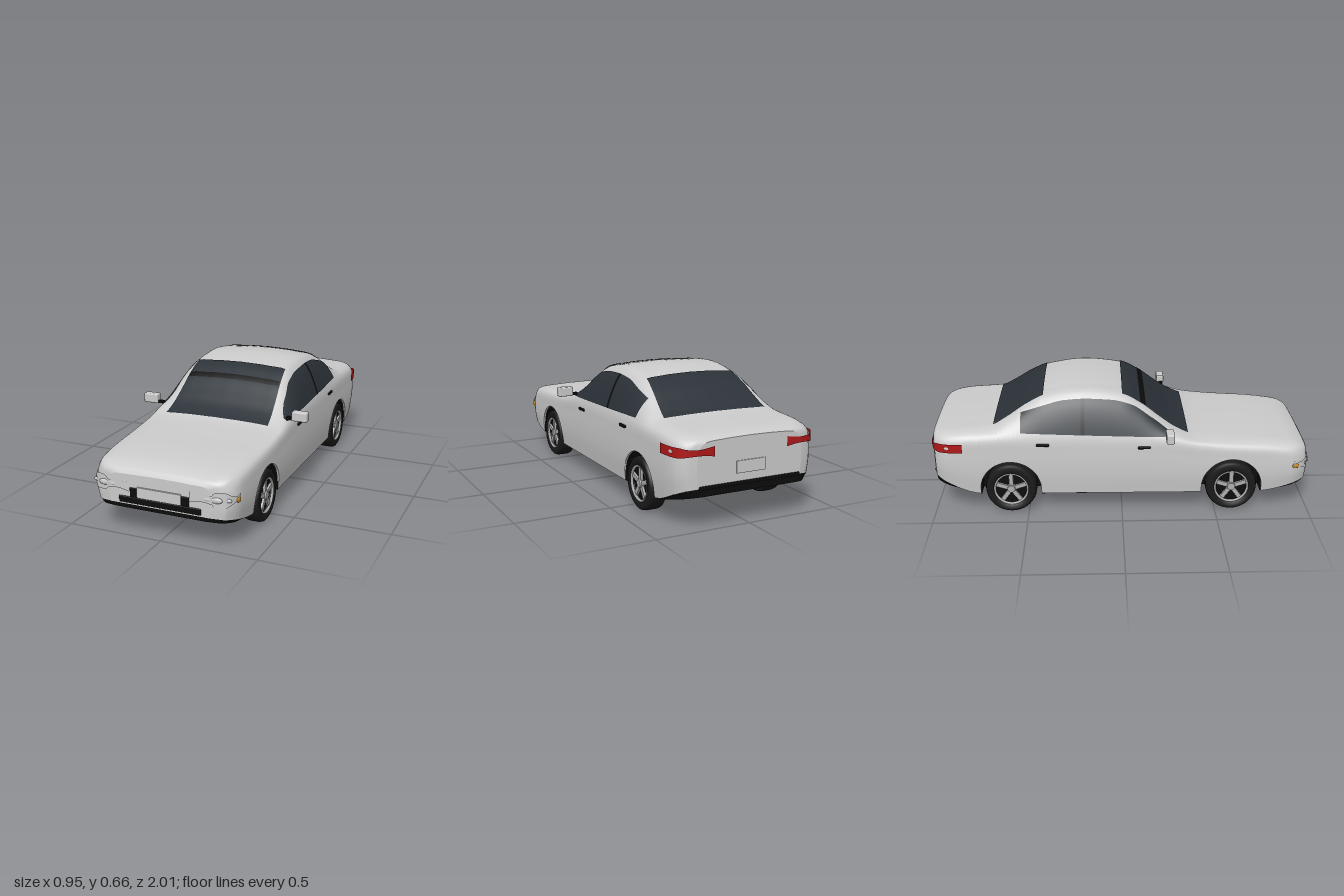
import * as THREE from 'three';
import { RoundedBoxGeometry } from 'three/addons/geometries/RoundedBoxGeometry.js';

const mat = (color, side = THREE.FrontSide) => new THREE.MeshStandardMaterial({ color, side });
const paint = mat(0xcccccc, THREE.DoubleSide), black = mat(0x0c0c0c, THREE.DoubleSide);
const glass = mat(0x2b3238, THREE.DoubleSide), rubber = mat(0x1a1a1a), alloy = mat(0xb0b0b0);
const lens = mat(0xe6e6e6, THREE.DoubleSide), red = mat(0xb01818, THREE.DoubleSide), amber = mat(0xc88a20, THREE.DoubleSide);

// Smooth interpolation of column c in a table of rows sorted by falling z
function at(rows, z, c = 1) {
  if (z >= rows[0][0]) return rows[0][c];
  const n = rows.length - 1;
  if (z <= rows[n][0]) return rows[n][c];
  let i = 0;
  while (z < rows[i + 1][0]) i++;
  const slope = k => (rows[k + 1][c] - rows[k][c]) / (rows[k + 1][0] - rows[k][0]);
  const tangent = k => {
    if (k === 0) return slope(0);
    if (k === n) return slope(n - 1);
    const p = slope(k - 1), q = slope(k);
    return p * q <= 0 ? 0 : 2 * p * q / (p + q);
  };
  const h = rows[i + 1][0] - rows[i][0], t = (z - rows[i][0]) / h;
  const t2 = t * t, t3 = t2 * t;
  return (2 * t3 - 3 * t2 + 1) * rows[i][c] + (t3 - 2 * t2 + t) * h * tangent(i)
    + (3 * t2 - 2 * t3) * rows[i + 1][c] + (t3 - t2) * h * tangent(i + 1);
}

// z, half width, belt height, roof edge half width, roof edge height, top height
const BODY = [
  [1, .27, .285, .25, .31, .322], [.985, .335, .30, .30, .33, .344], [.95, .365, .32, .33, .348, .362],
  [.9, .38, .335, .335, .36, .376], [.75, .387, .355, .335, .378, .392], [.55, .39, .37, .335, .389, .402],
  [.38, .39, .39, .33, .403, .416], [.28, .39, .41, .32, .44, .456], [.2, .39, .42, .305, .492, .513],
  [.1, .39, .425, .29, .565, .59], [0, .39, .43, .278, .615, .64], [-.2, .39, .435, .276, .636, .661],
  [-.4, .39, .437, .279, .608, .636], [-.5, .39, .437, .287, .565, .592], [-.6, .39, .435, .305, .503, .524],
  [-.68, .39, .43, .325, .464, .477], [-.85, .388, .42, .332, .45, .462], [-.93, .377, .412, .32, .442, .455],
  [-.985, .34, .402, .29, .428, .444], [-1, .29, .395, .25, .418, .432]];
const PAINT_EDGE = [[1, .165], [.72, .105], [-.74, .11], [-1, .205]];
const FLOOR = [[1, .145], [.85, .11], [.7, .093], [-.72, .093], [-.85, .125], [-1, .165]];
const WHEELS = [.585, -.59], AXLE_Y = .138, ARCH = .16;

const archY = z => {
  const d = Math.min(...WHEELS.map(c => Math.abs(z - c)));
  return d < ARCH ? AXLE_Y + Math.sqrt(ARCH * ARCH - d * d) : 0;
};

// Half cross-section from sill to centre line
function profile(z) {
  const [w, belt, rx, ry, top] = [1, 2, 3, 4, 5].map(c => at(BODY, z, c));
  const y0 = at(PAINT_EDGE, z), low = f => y0 + f * (belt - y0);
  const pts = [[w - .01, y0], [w, low(.35)], [w - .002, low(.72)], [w - .014, belt], [rx, ry],
    [rx * .6, ry + .75 * (top - ry)], [0, top]].map(p => new THREE.Vector3(p[0], p[1], z));
  return new THREE.CatmullRomCurve3(pts).getPoints(30);
}
function crossing(z, key, value, out) {
  const p = profile(z);
  for (let i = p.length - 1; i > 0; i--) {
    const a = p[i - 1], b = p[i];
    if ((a[key] - value) * (b[key] - value) <= 0 && a[key] !== b[key])
      return a[out] + (b[out] - a[out]) * (value - a[key]) / (b[key] - a[key]);
  }
  return p[p.length - 1][out];
}
const topY = (z, x) => crossing(z, 'x', Math.abs(x), 'y');
const sideX = (z, y) => crossing(z, 'y', y, 'x');

// Grid of quads from rows of points
function grid(rows, capped = false) {
  const pos = [], idx = [], m = rows[0].length;
  rows.forEach(r => r.forEach(p => pos.push(p.x, p.y, p.z)));
  for (let i = 0; i < rows.length - 1; i++) for (let j = 0; j < m - 1; j++) {
    const a = i * m + j, c = a + m;
    idx.push(a, c, a + 1, a + 1, c, c + 1);
  }
  if (capped) [[rows[0], 1], [rows[rows.length - 1], 0]].forEach(([r, front]) => {
    const s = pos.length / 3, mid = (r[0].y + r[m >> 1].y) / 2;
    pos.push(0, mid, r[0].z);
    r.forEach(p => pos.push(p.x, p.y, p.z));
    for (let j = 0; j < m; j++) {
      const a = s + 1 + j, b = s + 1 + (j + 1) % m;
      idx.push(s, front ? a : b, front ? b : a);
    }
  });
  const g = new THREE.BufferGeometry();
  g.setAttribute('position', new THREE.Float32BufferAttribute(pos, 3));
  g.setIndex(idx);
  g.computeVertexNormals();
  return g;
}
const patch = (n, m, fn) => grid(Array.from({ length: n + 1 }, (_, i) =>
  Array.from({ length: m + 1 }, (_, j) => fn(i / n, j / m))));
const mirrored = half => [...half, ...half.slice(0, -1).reverse().map(p => new THREE.Vector3(-p.x, p.y, p.z))];

function stations() {
  const zs = [.996, .992, .986, -.986, -.992, -.996];
  for (let i = 0; i <= 80; i++) zs.push(1 - i / 40);
  WHEELS.forEach(c => {
    for (let i = 0; i <= 24; i++) zs.push(c + (ARCH - .0005) * Math.cos(i * Math.PI / 24));
    zs.push(c + ARCH + .001, c - ARCH - .001);
  });
  return zs.sort((a, b) => b - a);
}

// Strip wrapped round a front (end 1) or rear (end -1) corner; heights are functions of 0..1
function wrap(end, side, innerX, outerZ, lo, hi, gap = .005) {
  const path = [];
  for (let i = 0; i < 6; i++) path.push([innerX + (at(BODY, end) - innerX) * i / 6, 1 + gap]);
  for (let i = 0; i <= 14; i++) {
    const z = 1 - (1 - outerZ) * (i / 14) ** 2;
    path.push([at(BODY, end * z) + gap, z + gap * (1 - i / 14)]);
  }
  const n = path.length - 1;
  return grid(path.map(([x, z], i) => [lo(i / n), hi(i / n)].map(y => new THREE.Vector3(side * x, y, end * z))));
}

function wheel() {
  const g = new THREE.Group();
  const add = (name, geo, m, x = 0) => {
    const o = new THREE.Mesh(geo, m);
    o.name = name; o.position.x = x; g.add(o);
    return o;
  };
  const lathe = pts => new THREE.LatheGeometry(pts.map(p => new THREE.Vector2(...p)), 40).rotateZ(-Math.PI / 2);
  add('tyre', lathe([[.09, -.047], [.122, -.047], [.132, -.04], [.136, -.025], [.136, .025], [.132, .04], [.122, .047], [.092, .045], [.09, .03]]), rubber);
  add('rimBack', new THREE.CylinderGeometry(.092, .092, .05, 32).rotateZ(Math.PI / 2), black);
  add('rimRing', new THREE.TorusGeometry(.088, .007, 8, 40).rotateY(Math.PI / 2), alloy, .039);
  add('hub', new THREE.CylinderGeometry(.02, .026, .02, 20).rotateZ(-Math.PI / 2), alloy, .037);
  for (let i = 0; i < 5; i++)
    add('spoke', new THREE.BoxGeometry(.012, .075, .023).translate(0, .05, 0).rotateX(i * Math.PI * .4), alloy, .034);
  return g;
}

export function createModel() {
  const car = new THREE.Group();
  car.name = 'car';
  const add = (name, geo, m, x = 0, y = 0, z = 0) => {
    const o = new THREE.Mesh(geo, m);
    o.name = name; o.position.set(x, y, z); car.add(o);
    return o;
  };
  const zs = stations();

  // Painted shell with arched sills
  add('bodyShell', grid(zs.map(z => {
    const a = archY(z);
    return mirrored(profile(z).map(p => p.setY(Math.max(p.y, a))));
  }), true), paint);

  // Dark floor, lower bumpers and wheel wells
  add('underbody', grid(zs.map(z => {
    const a = archY(z), w = at(BODY, z), edge = Math.max(at(PAINT_EDGE, z), a), floor = at(FLOOR, z);
    const half = [[w - .01, edge], [a ? .27 : w - .012, edge], [a ? .27 : w - .035, floor], [0, floor]];
    return mirrored(half.map(p => new THREE.Vector3(p[0], p[1], z)));
  }), true).toNonIndexed(), black).geometry.computeVertexNormals();

  // Front and rear screens laid on the shell
  const screen = (name, z0, z1, x0, x1, m, gap) => add(name, patch(20, 20, (a, b) => {
    const z = z0 + (z1 - z0) * a, x = (x0 + (x1 - x0) * a) * (1 - 2 * b);
    return new THREE.Vector3(x, topY(z, x) + gap, z + Math.sign(z0 + z1) * gap);
  }), m);
  screen('windscreen', .35, 0, .293, .258, glass, .003);
  screen('windscreenBand', .125, .095, .265, .262, black, .004);
  screen('rearScreen', -.41, -.675, .25, .29, glass, .003);

  // Side windows and centre pillars
  const WINDOW = [[.265, .437], [.15, .52], [.05, .583], [-.05, .608], [-.2, .617], [-.3, .61], [-.4, .587], [-.53, .545]];
  const sideGlass = (name, s, z0, z1, m, gap) => add(name, patch(32, 8, (a, b) => {
    const z = z0 + (z1 - z0) * a, lo = .425 + .03 * (.265 - z) / .795, y = lo + (at(WINDOW, z) - lo) * b;
    return new THREE.Vector3(s * (sideX(z, y) + gap), y, z);
  }), m);

  for (const s of [1, -1]) {
    sideGlass('sideWindow', s, .265, -.53, glass, .004);
    sideGlass('centrePillar', s, -.195, -.215, black, .005);
    // Door mirror and handles
    add('mirror', new RoundedBoxGeometry(.084, .052, .042, 2, .007), paint, s * .433, .455, .248);
    add('mirrorArm', new THREE.BoxGeometry(.04, .014, .02), black, s * .38, .438, .25);
    add('doorHandle', new RoundedBoxGeometry(.012, .014, .066, 2, .004), black, s * .388, .373, .117);
    add('doorHandle', new RoundedBoxGeometry(.012, .014, .066, 2, .004), black, s * .388, .393, -.415);
    // Headlamps with bulbs and indicators
    add('headlamp', wrap(1, s, .16, .915, t => .232 + .012 * Math.sin(t * 9), t => .287 - .014 * Math.sin(t * 9)), lens);
    for (const [x, z, r] of [[.25, 1, .02], [.292, .998, .026], [.345, .98, .017]])
      add('lampBulb', new THREE.SphereGeometry(r, 16, 12).scale(1.3, .6, .35), lens, s * x, .26, z);
    add('indicator', new THREE.SphereGeometry(.016, 12, 8).scale(.5, .9, 1.2), amber, s * .376, .252, .925);
    // Tail lamps
    const wide = t => .022 - .01 * Math.sin(Math.PI * Math.min(1, t * 1.6));
    add('tailLamp', wrap(-1, s, .2, .835, t => .375 - wide(t), t => .38 + wide(t)), red);
    add('reverseLamp', new THREE.SphereGeometry(.016, 12, 8).scale(.35, .7, 1.4), lens, s * .382, .378, -.91);
    // Wheels
    for (const z of WHEELS) {
      const w = wheel();
      w.name = z > 0 ? 'frontWheel' : 'rearWheel';
      w.position.set(s * .339, AXLE_Y - .002, z);
      if (s < 0) w.rotation.y = Math.PI;
      car.add(w);
    }
  }

  // Nose intake and plates
  add('intake', new RoundedBoxGeometry(.435, .034, .012, 2, .005), black, 0, .188, .998);
  add('plateRecess', new RoundedBoxGeometry(.315, .05, .01, 2, .004), black, 0, .228, .998);
  add('frontPlate', new THREE.BoxGeometry(.232, .054, .01), paint, 0, .234, 1.003);
  add('rearPlate', new THREE.BoxGeometry(.16, .06, .01), lens, 0, .285, -1);
  add('rearBumperStrip', new RoundedBoxGeometry(.56, .018, .012, 2, .004), black, 0, .207, -.998);
  return car;
}
